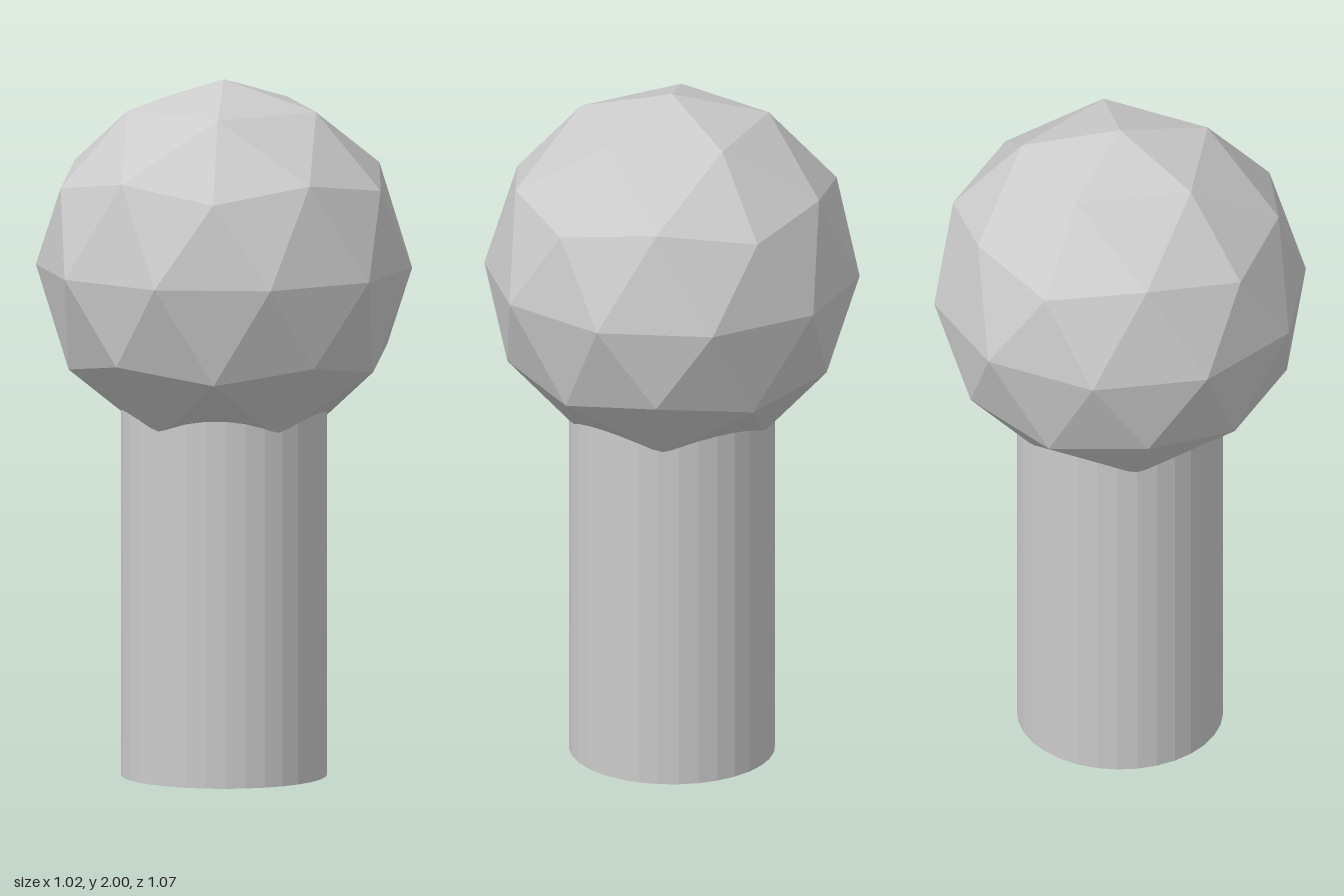
import * as THREE from 'three';

export function createModel() {
  const model = new THREE.Group();
  const material = new THREE.MeshStandardMaterial({ color: 0xcccccc, flatShading: true });

  const add = (name, geometry, y) => {
    const mesh = new THREE.Mesh(geometry, material);
    mesh.name = name;
    mesh.position.y = y;
    model.add(mesh);
  };

  // Faceted ball: turned so one corner points straight up
  const golden = (1 + Math.sqrt(5)) / 2;
  const radius = 0.537;
  const ball = new THREE.IcosahedronGeometry(radius, 1).rotateZ(-Math.atan(1 / golden));
  add('head', ball, 2 - radius);

  // Round post, its top sunk into the ball
  const height = 1.15;
  add('post', new THREE.CylinderGeometry(0.294, 0.294, height, 32), height / 2);

  return model;
}
